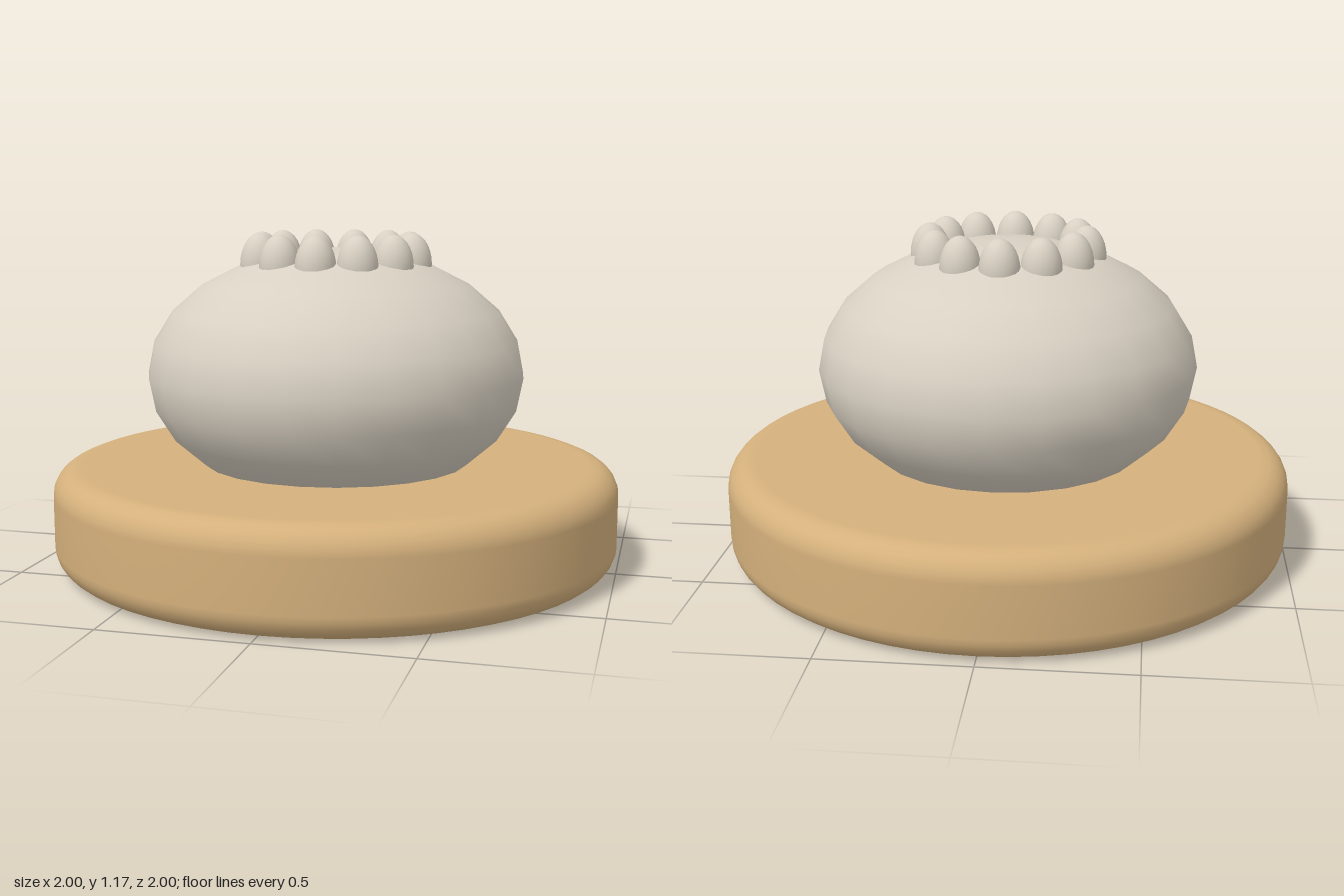
import * as THREE from 'three';

export function createModel() {
  const wood = new THREE.MeshStandardMaterial({ color: 0xd4b07c });
  wood.name = 'wood';
  const stone = new THREE.MeshStandardMaterial({ color: 0xd8d0c2 });
  stone.name = 'paleStone';

  const model = new THREE.Group();
  model.name = 'model';
  const add = (name, geometry, material, x = 0, y = 0, z = 0, parent = model) => {
    const mesh = new THREE.Mesh(geometry, material);
    mesh.name = name;
    mesh.position.set(x, y, z);
    parent.add(mesh);
    return mesh;
  };

  // Round base with filleted rims, turned from bottom centre to top centre
  const R = 1, H = 0.356, F = 0.09, steps = 6;
  const profile = [new THREE.Vector2(0, 0), new THREE.Vector2(R - F - 0.01, 0)];
  for (const [cy, start] of [[F, -Math.PI / 2], [H - F, 0]]) {
    for (let i = 0; i <= steps; i++) {
      const a = start + (i / steps) * Math.PI / 2;
      profile.push(new THREE.Vector2(R - F + F * Math.cos(a), cy + F * Math.sin(a)));
    }
  }
  profile.push(new THREE.Vector2(R - F - 0.01, H), new THREE.Vector2(0, H));
  add('base', new THREE.LatheGeometry(profile, 64), wood);

  // Flattened round body, sunk into the base
  const body = new THREE.SphereGeometry(1, 24, 12).scale(0.667, 0.444, 0.667);
  add('body', body, stone, 0, 0.67, 0);

  // Crown of egg-shaped beads
  const crown = new THREE.Group();
  crown.name = 'crown';
  model.add(crown);
  const bead = new THREE.SphereGeometry(1, 20, 14).scale(0.07, 0.108, 0.07);
  const count = 12;
  for (let i = 0; i < count; i++) {
    const a = (i / count) * Math.PI * 2;
    add('bead', bead, stone, 0.272 * Math.cos(a), 1.058, 0.272 * Math.sin(a), crown);
  }
  return model;
}
